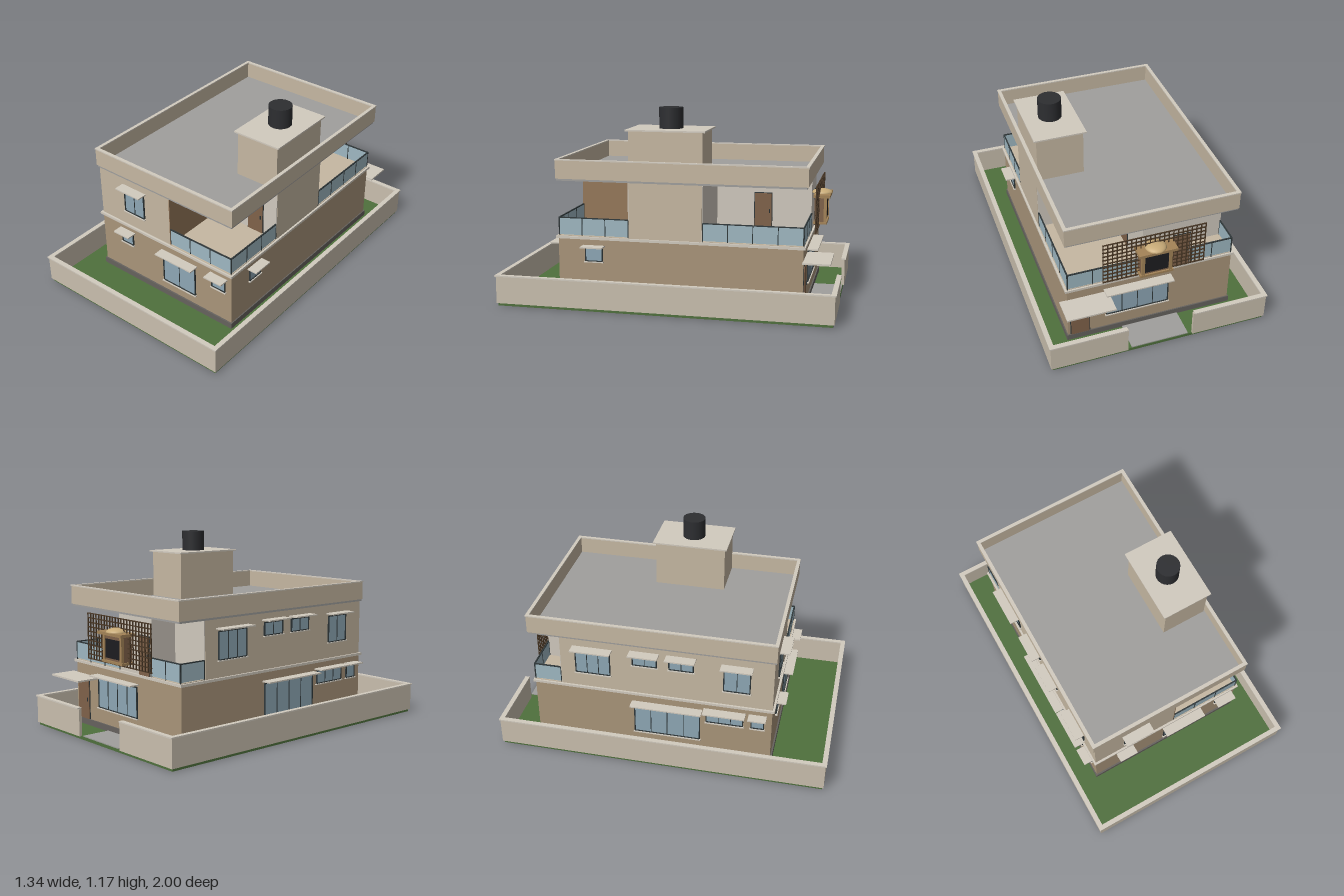
import * as THREE from 'three';

const C = {
  lawn: 0x4f703d, fence: 0xc9bfae, trim: 0xd2cbbf, lower: 0xa9957a, upper: 0xc6b8a2, light: 0xd0c9be,
  brown: 0x96785a, roof: 0xa09f9d, plinth: 0x66625e, glass: 0x8ea7b5, rail: 0x9fb8c2, frame: 0x30383a,
  door: 0x80624a, wood: 0xa48458, lattice: 0x4a3826, tank: 0x2d2e31, gold: 0xc8ab78, black: 0x1d1d20,
};
const mats = {};
const mat = (c) => (mats[c] ??= new THREE.MeshStandardMaterial({ color: c }));

// Box given by its extents along each axis
function box(parent, name, color, x0, x1, y0, y1, z0, z1) {
  const m = new THREE.Mesh(new THREE.BoxGeometry(x1 - x0, y1 - y0, z1 - z0), mat(color));
  m.position.set((x0 + x1) / 2, (y0 + y1) / 2, (z0 + z1) / 2);
  m.name = name;
  parent.add(m);
  return m;
}

// Group on a facade: local +z points out of the wall
const FACING = { front: 0, right: Math.PI / 2, back: Math.PI, left: -Math.PI / 2 };
function onWall(parent, name, side, along, depth) {
  const g = new THREE.Group();
  g.name = name;
  g.rotation.y = FACING[side];
  if (side === 'front' || side === 'back') g.position.set(along, 0, depth);
  else g.position.set(depth, 0, along);
  parent.add(g);
  return g;
}

// Framed window with mullions, sill and awning
function addWindow(parent, side, a0, a1, y0, y1, depth, panes, awningY) {
  const g = onWall(parent, 'window', side, (a0 + a1) / 2, depth);
  const w = (a1 - a0) / 2, t = 0.006;
  box(g, 'windowGlass', C.glass, -w, w, y0, y1, -0.005, 0.003);
  for (const s of [-1, 1]) box(g, 'windowJamb', C.frame, s * w - t / 2, s * w + t / 2, y0, y1, -0.005, 0.008);
  for (const y of [y0, y1]) box(g, 'windowRail', C.frame, -w, w, y - t / 2, y + t / 2, -0.005, 0.008);
  for (let i = 1; i < panes; i++) {
    const x = -w + (2 * w * i) / panes;
    box(g, 'mullion', C.frame, x - 0.002, x + 0.002, y0, y1, -0.005, 0.006);
  }
  box(g, 'windowSill', C.trim, -w - 0.008, w + 0.008, y0 - 0.008, y0 - 0.002, -0.005, 0.014);
  box(g, 'awning', C.trim, -w - 0.016, w + 0.016, awningY, awningY + 0.008, -0.005, 0.063);
}

function addDoor(parent, side, a0, a1, y0, y1, depth) {
  const g = onWall(parent, 'door', side, (a0 + a1) / 2, depth);
  const w = (a1 - a0) / 2;
  box(g, 'doorFrame', C.frame, -w, w, y0, y1, -0.004, 0.003);
  box(g, 'doorLeaf', C.door, -w + 0.005, w - 0.005, y0, y1 - 0.005, -0.004, 0.007);
  box(g, 'doorHandle', C.frame, w - 0.02, w - 0.015, (y0 + y1) / 2 - 0.012, (y0 + y1) / 2 + 0.012, 0.006, 0.012);
}

// Glass balustrade between two points in plan
function addRailing(parent, x0, z0, x1, z1, panels) {
  const g = new THREE.Group(), len = Math.hypot(x1 - x0, z1 - z0);
  g.name = 'glassRailing';
  g.position.set(x0, 0, z0);
  g.rotation.y = -Math.atan2(z1 - z0, x1 - x0);
  box(g, 'railGlass', C.rail, 0, len, 0.417, 0.517, -0.002, 0.002);
  box(g, 'handrail', C.frame, 0, len, 0.516, 0.522, -0.004, 0.004);
  for (let i = 0; i <= panels; i++) {
    const x = (len * i) / panels;
    box(g, 'railPost', C.frame, x - 0.0025, x + 0.0025, 0.41, 0.52, -0.004, 0.004);
  }
  parent.add(g);
}

// Four walls with optional opening in the back run
function addRing(parent, name, color, X, zb, zf, y0, y1, t, gap = 0) {
  for (const s of [-1, 1]) {
    const a = s * X, b = s * (X - t);
    box(parent, name, color, Math.min(a, b), Math.max(a, b), y0, y1, zb, zf);
  }
  const w = X - t;
  box(parent, name, color, -w, w, y0, y1, zf - t, zf);
  if (gap) for (const s of [-1, 1]) box(parent, name, color, s < 0 ? -w : gap, s < 0 ? -gap : w, y0, y1, zb, zb + t);
  else box(parent, name, color, -w, w, y0, y1, zb, zb + t);
}

export function createModel() {
  const root = new THREE.Group();
  root.name = 'house';
  const part = (name) => {
    const g = new THREE.Group();
    g.name = name;
    root.add(g);
    return g;
  };

  // Plot with boundary wall and rear path
  const plot = part('plot');
  box(plot, 'lawn', C.lawn, -0.655, 0.655, 0, 0.018, -0.985, 0.985);
  addRing(plot, 'boundaryWall', C.fence, 0.663, -0.993, 0.993, 0.016, 0.178, 0.018, 0.2);
  addRing(plot, 'boundaryCoping', C.trim, 0.669, -1, 1, 0.178, 0.186, 0.029, 0.205);
  box(plot, 'path', C.roof, -0.175, 0.175, 0.016, 0.024, -0.983, -0.8);

  // Ground floor
  const ground = part('groundFloor');
  box(ground, 'plinth', C.plinth, -0.512, 0.512, 0.016, 0.055, -0.808, 0.662);
  box(ground, 'groundWalls', C.lower, -0.505, 0.505, 0.055, 0.395, -0.8, 0.652);
  box(ground, 'floorSlab', C.trim, -0.517, 0.517, 0.395, 0.41, -0.812, 0.665);
  addWindow(ground, 'front', -0.345, -0.257, 0.265, 0.343, 0.652, 1, 0.352);
  addWindow(ground, 'front', -0.01, 0.235, 0.125, 0.328, 0.652, 2, 0.337);
  addWindow(ground, 'front', 0.365, 0.46, 0.265, 0.343, 0.652, 1, 0.352);
  addWindow(ground, 'right', 0.383, 0.485, 0.265, 0.343, 0.505, 1, 0.352);
  addWindow(ground, 'left', -0.18, 0.22, 0.125, 0.328, -0.505, 4, 0.337);
  addWindow(ground, 'left', 0.26, 0.48, 0.265, 0.343, -0.505, 3, 0.352);
  addWindow(ground, 'left', 0.53, 0.605, 0.265, 0.343, -0.505, 1, 0.352);
  addWindow(ground, 'back', -0.11, 0.27, 0.15, 0.33, -0.8, 4, 0.342);
  addDoor(ground, 'back', 0.37, 0.49, 0.055, 0.295, -0.8);
  box(ground, 'doorCanopy', C.trim, 0.26, 0.55, 0.32, 0.33, -0.955, -0.798);

  // Upper floor: stepped blocks leaving corner balconies
  const upper = part('upperFloor');
  const y0 = 0.41, y1 = 0.742;
  box(upper, 'frontRoom', C.upper, -0.505, 0.045, y0, y1, 0.22, 0.652);
  box(upper, 'middleRoom', C.upper, -0.505, 0.505, y0, y1, -0.215, 0.22);
  box(upper, 'rearRoom', C.upper, -0.505, 0.05, y0, y1, -0.63, -0.215);
  box(upper, 'rearBay', C.light, -0.25, 0.05, y0, y1, -0.8, -0.63);
  box(upper, 'balconySideWall', C.brown, 0.045, 0.05, y0, y1, 0.22, 0.652);
  box(upper, 'balconyBackWall', C.light, 0.05, 0.503, y0, y1, 0.22, 0.225);
  box(upper, 'rearBalconyWall', C.light, 0.05, 0.055, y0, y1, -0.8, -0.22);
  box(upper, 'rearBalconyEndWall', C.light, 0.05, 0.503, y0, y1, -0.22, -0.215);
  box(upper, 'rearCornerWall', C.light, -0.503, -0.25, y0, y1, -0.635, -0.63);
  box(upper, 'frontBalconyFloor', C.upper, 0.05, 0.505, 0.409, 0.414, 0.225, 0.655);
  box(upper, 'rearBalconyFloor', C.upper, 0.055, 0.505, 0.409, 0.414, -0.802, -0.22);
  box(upper, 'rearCornerFloor', C.upper, -0.505, -0.25, 0.409, 0.414, -0.802, -0.635);
  addDoor(upper, 'front', 0.295, 0.41, y0, 0.638, 0.225);
  addDoor(upper, 'right', -0.562, -0.45, y0, 0.638, 0.055);
  addDoor(upper, 'back', -0.235, -0.13, y0, 0.638, -0.8);
  addWindow(upper, 'front', -0.303, -0.15, 0.51, 0.67, 0.652, 2, 0.683);
  addWindow(upper, 'left', -0.535, -0.325, 0.51, 0.67, -0.505, 3, 0.683);
  addWindow(upper, 'left', -0.185, -0.04, 0.61, 0.685, -0.505, 2, 0.697);
  addWindow(upper, 'left', 0.035, 0.18, 0.61, 0.685, -0.505, 2, 0.697);
  addWindow(upper, 'left', 0.36, 0.515, 0.51, 0.67, -0.505, 2, 0.683);

  // Balustrades
  const rails = part('balustrades');
  addRailing(rails, 0.05, 0.648, 0.5, 0.648, 3);
  addRailing(rails, 0.5, 0.648, 0.5, 0.225, 3);
  addRailing(rails, 0.5, -0.22, 0.5, -0.8, 4);
  addRailing(rails, 0.5, -0.8, 0.055, -0.8, 3);
  addRailing(rails, -0.25, -0.8, -0.5, -0.8, 2);
  addRailing(rails, -0.5, -0.8, -0.5, -0.635, 1);

  // Roof with parapet, stair tower and water tank
  const roof = part('roof');
  box(roof, 'roofSlab', C.roof, -0.512, 0.512, 0.74, 0.757, -0.815, 0.66);
  addRing(roof, 'parapet', C.upper, 0.517, -0.822, 0.663, 0.752, 0.86, 0.016);
  addRing(roof, 'parapetCoping', C.trim, 0.52, -0.826, 0.666, 0.86, 0.867, 0.021);
  box(roof, 'stairTower', C.upper, 0.212, 0.494, 0.755, 1.04, -0.215, 0.222);
  box(roof, 'towerSlab', C.trim, 0.195, 0.51, 1.04, 1.049, -0.232, 0.236);
  const tank = new THREE.Mesh(new THREE.CylinderGeometry(0.07, 0.07, 0.122, 24), mat(C.tank));
  tank.position.set(0.35, 1.11, 0);
  tank.name = 'waterTank';
  roof.add(tank);

  // Rear lattice screen
  const screen = part('latticeScreen');
  const nx = 22, ny = 10;
  for (let i = 0; i <= nx; i++) {
    const x = -0.305 + (0.61 * i) / nx;
    box(screen, 'latticeUpright', C.lattice, x - 0.003, x + 0.003, 0.445, 0.722, -0.85, -0.844);
  }
  for (let j = 0; j <= ny; j++) {
    const y = 0.448 + (0.271 * j) / ny;
    box(screen, 'latticeBar', C.lattice, -0.308, 0.308, y - 0.003, y + 0.003, -0.849, -0.843);
  }

  // Wooden shrine with dark niche and low dome
  const shrine = part('shrine');
  box(shrine, 'shrineBody', C.door, -0.09, 0.09, 0.475, 0.63, -0.885, -0.82);
  box(shrine, 'shrineNiche', C.black, -0.07, 0.07, 0.49, 0.6, -0.889, -0.88);
  box(shrine, 'shrineBase', C.wood, -0.1, 0.1, 0.463, 0.477, -0.895, -0.815);
  for (const s of [-1, 1]) box(shrine, 'shrinePost', C.wood, s * 0.082 - 0.009, s * 0.082 + 0.009, 0.477, 0.63, -0.893, -0.875);
  box(shrine, 'shrineCornice', C.wood, -0.115, 0.115, 0.625, 0.642, -0.913, -0.813);
  const dome = new THREE.Mesh(new THREE.SphereGeometry(0.062, 24, 8, 0, Math.PI * 2, 0, Math.PI / 2), mat(C.gold));
  dome.scale.y = 0.4;
  dome.position.set(0, 0.642, -0.858);
  dome.name = 'shrineDome';
  shrine.add(dome);

  return root;
}
